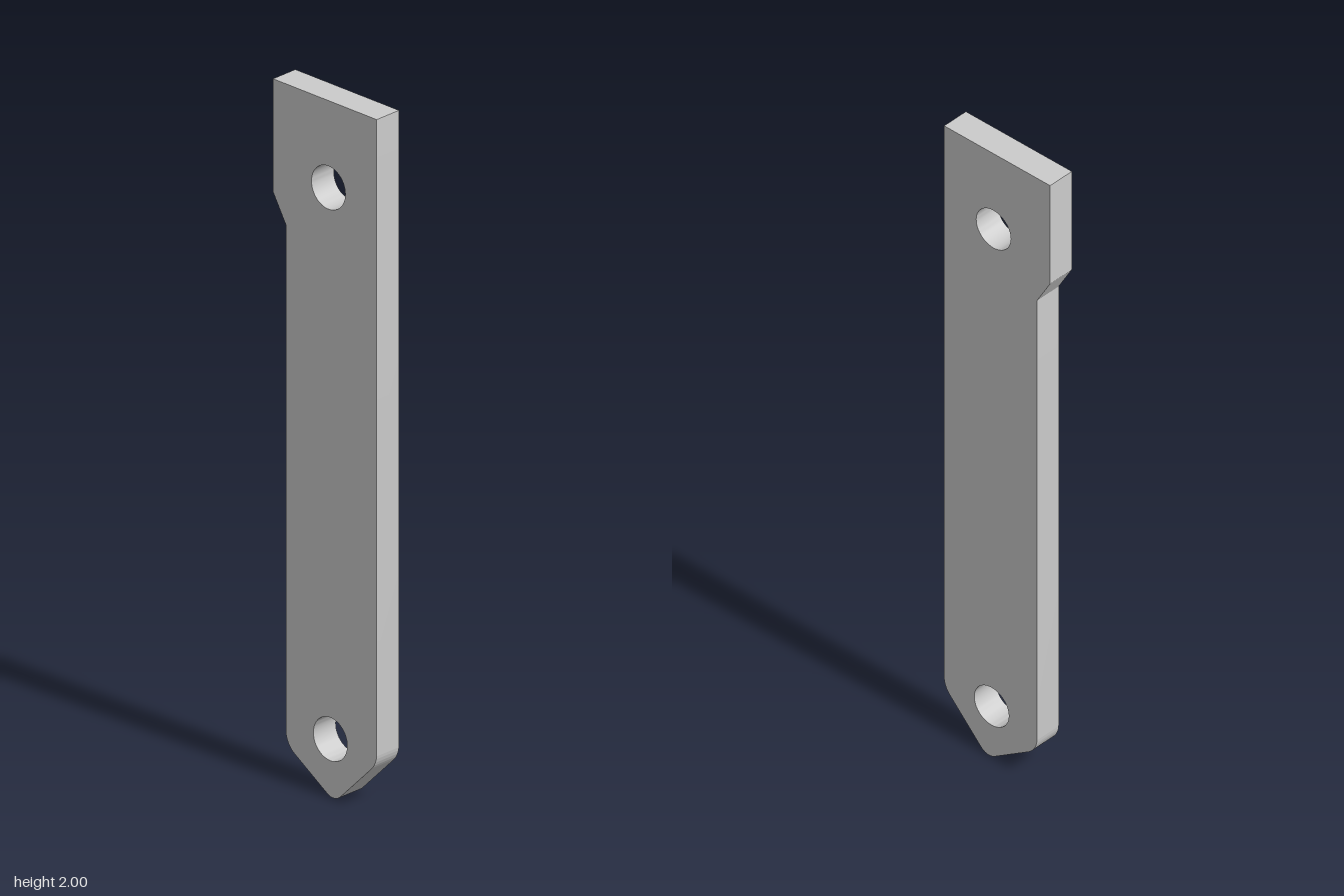
import * as THREE from 'three';
import { toCreasedNormals } from 'three/addons/utils/BufferGeometryUtils.js';

const DEPTH = 0.084;

// Outline corners, counter-clockwise: x, y, fillet radius
const CORNERS = [
  [-0.19, 2, 0],
  [-0.19, 1.675, 0],
  [-0.143, 1.595, 0],
  [-0.143, 0.105, 0.07],
  [0.035, -0.01, 0.0385],
  [0.19, 0.147, 0.07],
  [0.19, 2, 0],
];

// Closed shape whose convex corners are rounded by tangent arcs
function filletedShape(corners) {
  const shape = new THREE.Shape();
  const points = corners.map(([x, y]) => new THREE.Vector2(x, y));
  const n = points.length;
  points.forEach((p, i) => {
    const r = corners[i][2];
    if (r === 0) {
      if (i === 0) shape.moveTo(p.x, p.y);
      else shape.lineTo(p.x, p.y);
      return;
    }
    const dirIn = p.clone().sub(points[(i + n - 1) % n]).normalize();
    const dirOut = points[(i + 1) % n].clone().sub(p).normalize();
    const turn = Math.acos(dirIn.dot(dirOut));
    const start = p.clone().addScaledVector(dirIn, -r * Math.tan(turn / 2));
    const centre = start.clone().add(new THREE.Vector2(-dirIn.y, dirIn.x).multiplyScalar(r));
    const a = Math.atan2(start.y - centre.y, start.x - centre.x);
    shape.lineTo(start.x, start.y);
    shape.absarc(centre.x, centre.y, r, a, a + turn, false);
  });
  shape.closePath();
  return shape;
}

export function createModel() {
  const group = new THREE.Group();
  group.name = 'flatBar';

  // Bar outline with a bolt hole at each end
  const shape = filletedShape(CORNERS);
  for (const [x, y] of [[0.013, 1.75], [0.02, 0.167]]) {
    const hole = new THREE.Path();
    hole.absarc(x, y, 0.062, 0, Math.PI * 2, true);
    shape.holes.push(hole);
  }

  const extruded = new THREE.ExtrudeGeometry(shape, {
    depth: DEPTH, bevelEnabled: false, curveSegments: 24,
  });
  extruded.translate(0, 0, -DEPTH / 2);

  // Smooth fillets and bores, sharp plate edges
  const bar = new THREE.Mesh(
    toCreasedNormals(extruded, Math.PI / 7),
    new THREE.MeshStandardMaterial({ color: 0xcccccc })
  );
  bar.name = 'drilledBar';
  group.add(bar);
  return group;
}
